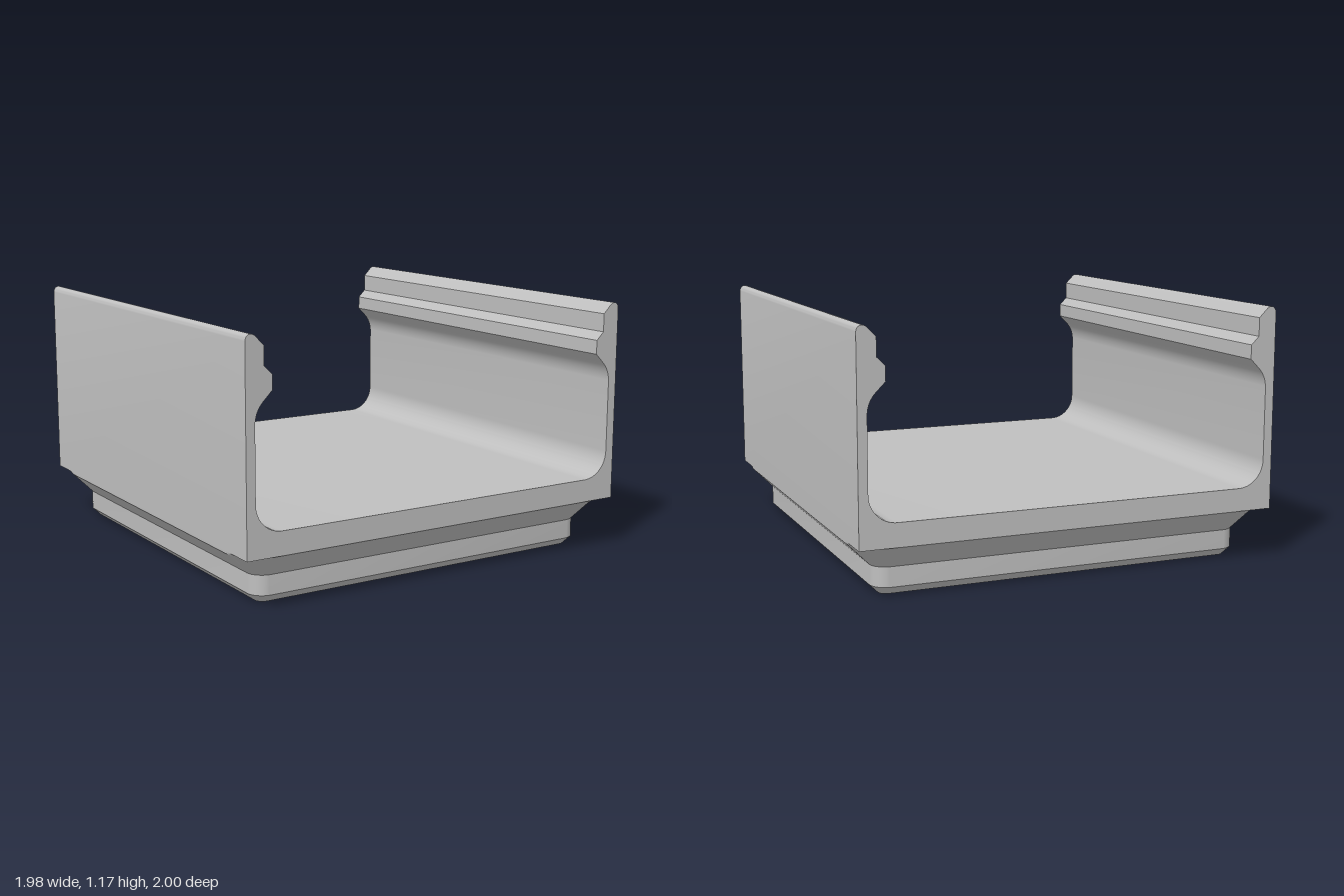
import * as THREE from 'three';
import { mergeVertices, toCreasedNormals } from 'three/addons/utils/BufferGeometryUtils.js';

const HALF_X = 0.988, CORE = 0.81, STEPS = 12;
const FLOOR_Y = 0.24, POCKET_R = 0.153, POCKET_AT = 0.619, POCKET_DEPTH = 0.115;

const grey = new THREE.MeshStandardMaterial({ color: 0xbfbfbf });
grey.name = 'grey';

function part(name, geometry, crease = 0.5) {
  const mesh = new THREE.Mesh(toCreasedNormals(geometry, crease), grey);
  mesh.name = name;
  return mesh;
}

// Rounded square whose corners share one centre, so every ring lines up
function ring(half) {
  const points = [], r = half - CORE;
  for (let corner = 0; corner < 4; corner++) {
    const mid = (corner + 0.5) * Math.PI / 2;
    const cx = Math.sign(Math.cos(mid)) * CORE, cz = Math.sign(Math.sin(mid)) * CORE;
    for (let i = 0; i <= STEPS; i++) {
      const a = (corner + i / STEPS) * Math.PI / 2;
      const x = THREE.MathUtils.clamp(cx + r * Math.cos(a), -HALF_X, HALF_X);
      points.push(new THREE.Vector2(x, cz + r * Math.sin(a)));
    }
  }
  return points;
}

// U-shaped channel with a snap ridge and rounded tip on each wall
function channelGeometry() {
  const p = new THREE.Path();
  p.moveTo(HALF_X, FLOOR_Y);
  p.lineTo(HALF_X, 1.145);
  p.bezierCurveTo(0.985, 1.175, 0.957, 1.18, 0.94, 1.162);
  p.lineTo(0.902, 1.124);
  p.lineTo(0.902, 1.04);
  p.lineTo(0.864, 1.003);
  p.lineTo(0.864, 0.938);
  p.lineTo(0.905, 0.897);
  p.quadraticCurveTo(0.945, 0.857, 0.945, 0.8);
  p.lineTo(0.945, 0.472);
  p.absarc(0.82, 0.472, 0.125, 0, -Math.PI / 2, true);
  const right = p.getPoints(12);
  const left = right.map(v => new THREE.Vector2(-v.x, v.y)).reverse();
  const g = new THREE.ExtrudeGeometry(new THREE.Shape([...right, ...left]), {
    depth: 2, bevelEnabled: false
  });
  return g.translate(0, 0, -1);
}

// Stepped foot lofted through rounded squares: [half width, height]
function footGeometry() {
  const levels = [[0.848, 0], [0.886, 0.038], [0.886, 0.128], [HALF_X, 0.23], [0.999, FLOOR_Y]];
  const positions = [], index = [];
  const n = 4 * (STEPS + 1);
  for (const [half, y] of levels) for (const v of ring(half)) positions.push(v.x, y, v.y);
  for (let k = 0; k < levels.length - 1; k++) {
    for (let j = 0; j < n; j++) {
      const a = k * n + j, b = k * n + (j + 1) % n;
      index.push(a, a + n, b, b, a + n, b + n);
    }
  }
  const g = new THREE.BufferGeometry();
  g.setAttribute('position', new THREE.Float32BufferAttribute(positions, 3));
  g.setIndex(index);
  return mergeVertices(g);
}

export function createModel() {
  const model = new THREE.Group();
  model.name = 'cableChannel';
  model.add(part('channel', channelGeometry()));
  model.add(part('foot', footGeometry()));

  // Underside with four round pockets
  const sole = new THREE.Shape(ring(0.848));
  for (const x of [-POCKET_AT, POCKET_AT]) {
    for (const z of [-POCKET_AT, POCKET_AT]) {
      sole.holes.push(new THREE.Path().absarc(x, z, POCKET_R, 0, Math.PI * 2, true));
      const profile = [[0, POCKET_DEPTH], [POCKET_R, POCKET_DEPTH], [POCKET_R, 0]];
      const pocket = part('pocket', new THREE.LatheGeometry(
        profile.map(([r, y]) => new THREE.Vector2(r, y)), 48));
      pocket.position.set(x, 0, z);
      model.add(pocket);
    }
  }
  model.add(part('sole', new THREE.ShapeGeometry(sole, 24).rotateX(Math.PI / 2)));
  return model;
}
